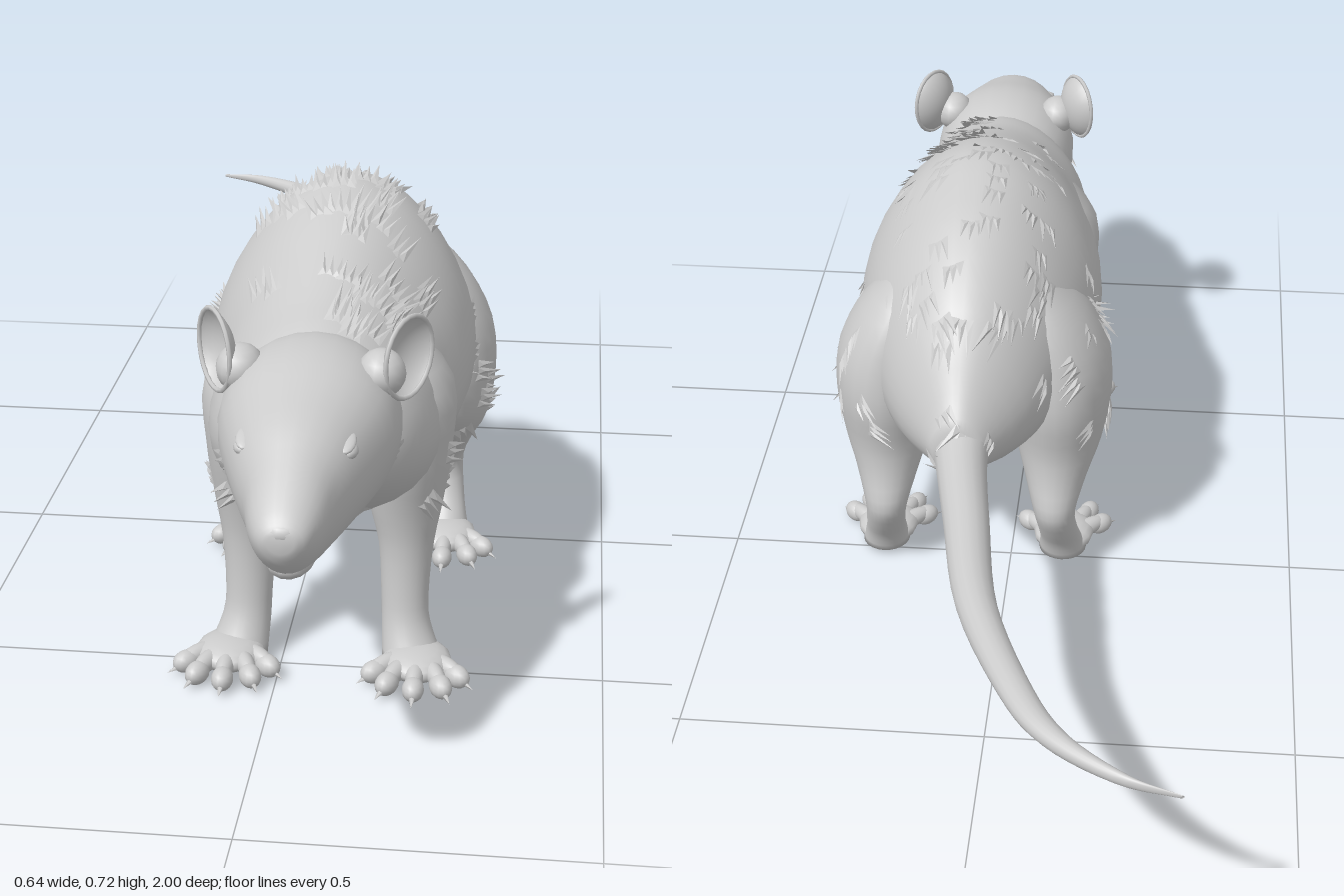
import * as THREE from 'three';

const grey = new THREE.MeshStandardMaterial({ color: 0xcccccc, side: THREE.DoubleSide });
grey.name = 'light grey';

// small seeded random
let seed = 7;
const rnd = () => (seed = (seed * 16807) % 2147483647) / 2147483647;

// Smooth closed tube through elliptical stations [x, y, z, radiusX, radiusV].
// axis 'z': rings in the xy plane; axis 'y': rings in the xz plane. Stations rise along the axis.
function loft(stations, axis, taper = 0, n = 24, steps = 3) {
  const spline = pts => new THREE.CatmullRomCurve3(pts, false, 'catmullrom', 0.5);
  const path = spline(stations.map(s => new THREE.Vector3(s[0], s[1], s[2])));
  const size = spline(stations.map(s => new THREE.Vector3(s[3], s[4], 0)));
  const rings = (stations.length - 1) * steps;
  const pos = [], idx = [];
  for (let i = 0; i <= rings; i++) {
    const c = path.getPoint(i / rings), r = size.getPoint(i / rings);
    for (let j = 0; j < n; j++) {
      const a = (j / n) * Math.PI * 2, up = Math.sin(a);
      const x = c.x + r.x * Math.cos(a) * (1 - taper * up);
      if (axis === 'z') pos.push(x, c.y + r.y * up, c.z);
      else pos.push(x, c.y, c.z - r.y * up);
    }
  }
  for (let i = 0; i < rings; i++) {
    for (let j = 0; j < n; j++) {
      const a = i * n + j, b = i * n + (j + 1) % n;
      idx.push(a, b, a + n, b, b + n, a + n);
    }
  }
  // end caps
  const first = stations[0], last = stations[stations.length - 1], c0 = (rings + 1) * n;
  pos.push(...first.slice(0, 3), ...last.slice(0, 3));
  for (let j = 0; j < n; j++) {
    const k = (j + 1) % n;
    idx.push(c0, k, j, c0 + 1, rings * n + j, rings * n + k);
  }
  const g = new THREE.BufferGeometry();
  g.setAttribute('position', new THREE.Float32BufferAttribute(pos, 3));
  g.setIndex(idx);
  g.computeVertexNormals();
  return g;
}

// Clumps of three flat blades of fur lying backwards on a surface, where keep(point) allows
function fur(geo, clumps, length, lift, keep) {
  const p = geo.attributes.position, nm = geo.attributes.normal, out = [];
  const v = new THREE.Vector3(), n = new THREE.Vector3();
  for (let made = 0, tries = 0; made < clumps && tries < 20000; tries++) {
    const i = Math.floor(rnd() * p.count);
    v.fromBufferAttribute(p, i);
    n.fromBufferAttribute(nm, i);
    if (!keep(v)) continue;
    made++;
    const back = new THREE.Vector3((rnd() - 0.5) * 0.4, -0.3 * rnd(), -1);
    back.addScaledVector(n, -back.dot(n)).normalize();
    const side = new THREE.Vector3().crossVectors(n, back).normalize();
    const start = rnd() * 0.6 - 0.3;
    for (let k = -1; k <= 1; k++) {
      const len = length * (0.6 + 0.6 * rnd()), w = 0.008;
      const at = (u, s, h) => v.clone().addScaledVector(back, (start + u) * len)
        .addScaledVector(side, k * 0.011 + s * w).addScaledVector(n, h);
      const l = at(0, -1, -0.003), r = at(0, 1, -0.003);
      const ridge = at(0.35, 0, 0.004), tip = at(1, k * 0.5, lift * (0.5 + rnd()));
      for (const q of [l, r, ridge, r, tip, ridge, tip, l, ridge]) out.push(q.x, q.y, q.z);
    }
  }
  const g = new THREE.BufferGeometry();
  g.setAttribute('position', new THREE.Float32BufferAttribute(out, 3));
  g.computeVertexNormals();
  return g;
}

export function createModel() {
  seed = 7;
  const model = new THREE.Group();
  model.name = 'rat';
  const rat = new THREE.Group();
  rat.name = 'ratBody';
  rat.position.x = 0.068;
  model.add(rat);
  const add = (name, geo, parent = rat) => {
    const m = new THREE.Mesh(geo, grey);
    m.name = name;
    parent.add(m);
    return m;
  };
  const ball = (name, x, y, z, rx, ry, rz, parent) => {
    const m = add(name, new THREE.SphereGeometry(1, 14, 10), parent);
    m.position.set(x, y, z);
    m.scale.set(rx, ry, rz);
    return m;
  };
  // profile rows [z, top, bottom, halfWidth]
  const profile = rows => rows.map(([z, t, b, w]) => [0, (t + b) / 2, z, w, (t - b) / 2]);

  // torso and head
  const torso = loft(profile([
    [-0.24, 0.42, 0.34, 0.04], [-0.2, 0.47, 0.315, 0.065], [-0.12, 0.575, 0.28, 0.125],
    [0, 0.655, 0.25, 0.175], [0.1, 0.688, 0.235, 0.2], [0.2, 0.705, 0.235, 0.208],
    [0.3, 0.685, 0.24, 0.2], [0.4, 0.648, 0.25, 0.18], [0.5, 0.612, 0.265, 0.172],
    [0.58, 0.592, 0.3, 0.155], [0.64, 0.56, 0.34, 0.125], [0.68, 0.52, 0.37, 0.08]]), 'z', 0.2, 32);
  add('torso', torso);
  const head = loft(profile([
    [0.55, 0.575, 0.34, 0.1], [0.62, 0.597, 0.325, 0.125], [0.7, 0.597, 0.335, 0.128],
    [0.78, 0.577, 0.347, 0.108], [0.85, 0.557, 0.353, 0.084], [0.9, 0.53, 0.36, 0.063],
    [0.95, 0.5, 0.38, 0.05], [0.985, 0.475, 0.408, 0.035], [0.997, 0.458, 0.43, 0.018]]), 'z', -0.12, 28);
  add('head', head);
  ball('lowerJaw', 0, 0.383, 0.89, 0.036, 0.026, 0.064);
  ball('nose', 0, 0.455, 0.98, 0.026, 0.016, 0.018);

  // tail, curling to the right
  add('tail', loft([
    [-0.383, 0.357, -0.999, 0.004, 0.003], [-0.302, 0.357, -0.972, 0.016, 0.01],
    [-0.208, 0.355, -0.9, 0.024, 0.016], [-0.145, 0.352, -0.8, 0.027, 0.02],
    [-0.068, 0.346, -0.6, 0.032, 0.029], [-0.032, 0.355, -0.4, 0.037, 0.035],
    [-0.008, 0.367, -0.25, 0.043, 0.042], [0, 0.38, -0.16, 0.055, 0.06]], 'z', 0, 16, 5));

  // foot with five splayed, clawed toes
  const foot = (name, s, x, z, reach) => {
    const g = new THREE.Group();
    g.name = name;
    g.position.set(s * x, 0, z);
    rat.add(g);
    ball('palm', 0, 0.026, 0.025, 0.054, 0.024, 0.062, g);
    for (let i = -2; i <= 2; i++) {
      const toe = new THREE.Group();
      toe.name = 'toe';
      toe.rotation.y = i * 0.41;
      g.add(toe);
      const r = reach * (1 - 0.05 * i * i);
      ball('toeBase', 0, 0.026, r * 0.5, 0.015, 0.016, 0.042, toe);
      ball('toePad', 0, 0.02, r * 0.76, 0.017, 0.018, 0.024, toe);
      const claw = add('claw', new THREE.ConeGeometry(0.008, 0.035, 6), toe);
      claw.position.set(0, 0.014, r * 0.93);
      claw.rotation.x = Math.PI / 2 + 0.2;
    }
  };

  for (const s of [1, -1]) {
    const side = s > 0 ? 'left' : 'right';
    const flip = rows => rows.map(([x, ...rest]) => [s * x, ...rest]);

    // legs
    const foreleg = loft(flip([
      [0.138, 0.015, 0.49, 0.048, 0.042], [0.125, 0.07, 0.467, 0.038, 0.037],
      [0.122, 0.12, 0.459, 0.037, 0.035], [0.122, 0.2, 0.447, 0.043, 0.045],
      [0.12, 0.27, 0.437, 0.058, 0.068], [0.122, 0.36, 0.43, 0.068, 0.1],
      [0.12, 0.46, 0.43, 0.07, 0.1], [0.085, 0.55, 0.43, 0.04, 0.06]]), 'y');
    add(side + 'FrontLeg', foreleg);
    const hindleg = loft(flip([
      [0.16, 0.012, 0.02, 0.042, 0.045], [0.157, 0.05, 0, 0.036, 0.04],
      [0.153, 0.09, -0.028, 0.034, 0.038], [0.148, 0.14, -0.046, 0.037, 0.044],
      [0.148, 0.2, -0.008, 0.056, 0.07], [0.15, 0.26, 0.035, 0.078, 0.11],
      [0.15, 0.34, 0.045, 0.09, 0.135], [0.145, 0.42, 0.045, 0.088, 0.13],
      [0.122, 0.5, 0.04, 0.07, 0.105], [0.09, 0.57, 0.03, 0.035, 0.05]]), 'y');
    add(side + 'HindLeg', hindleg);
    foot(side + 'FrontFoot', s, 0.146, 0.485, 0.142);
    foot(side + 'HindFoot', s, 0.16, 0.02, 0.145);

    // cupped ear on a fleshy root, with a thin rim
    const ear = new THREE.Group();
    ear.name = side + 'Ear';
    ear.position.set(s * 0.138, 0.582, 0.66);
    ear.rotation.set(0, s * 1.0, s * -0.2);
    rat.add(ear);
    const cup = new THREE.SphereGeometry(1, 20, 6, 0, Math.PI * 2, 0, 1.1);
    cup.rotateX(-Math.PI / 2).translate(0, 0, 0.45).scale(0.06, 0.067, 0.05);
    add('earCup', cup, ear);
    const rim = new THREE.TorusGeometry(0.0535, 0.0035, 6, 24);
    rim.scale(1, 1.117, 1);
    add('earRim', rim, ear);
    ball(side + 'EarRoot', s * 0.1, 0.56, 0.668, 0.035, 0.035, 0.04);

    // eye sunk under a slanted lid
    ball(side + 'Eye', s * 0.071, 0.511, 0.835, 0.014, 0.011, 0.02);
    const lid = ball(side + 'Eyelid', s * 0.068, 0.523, 0.832, 0.014, 0.006, 0.028);
    lid.rotation.x = 0.25;

    // fur on the limbs
    add(side + 'ThighFur', fur(hindleg, 12, 0.055, 0.006, v => v.y > 0.24 && v.y < 0.5 && s * v.x > 0.16));
    add(side + 'ShoulderFur', fur(foreleg, 5, 0.05, 0.006, v => v.y > 0.26 && v.y < 0.5 && s * v.x > 0.13));
  }

  // fur on the body
  add('backFur', fur(torso, 75, 0.065, 0.01, v => v.y > 0.54 && v.z < 0.6 && Math.abs(v.x) < 0.14));
  add('flankFur', fur(torso, 16, 0.055, 0.006, v => v.y > 0.33 && v.y < 0.55 && v.z < 0.6));
  add('bellyFur', fur(torso, 20, 0.045, 0.012, v => v.y < 0.31 && v.z > -0.05));
  add('collarFur', fur(head, 14, 0.045, 0.01, v => v.z > 0.6 && v.z < 0.75 && v.y < 0.45));
  return model;
}
